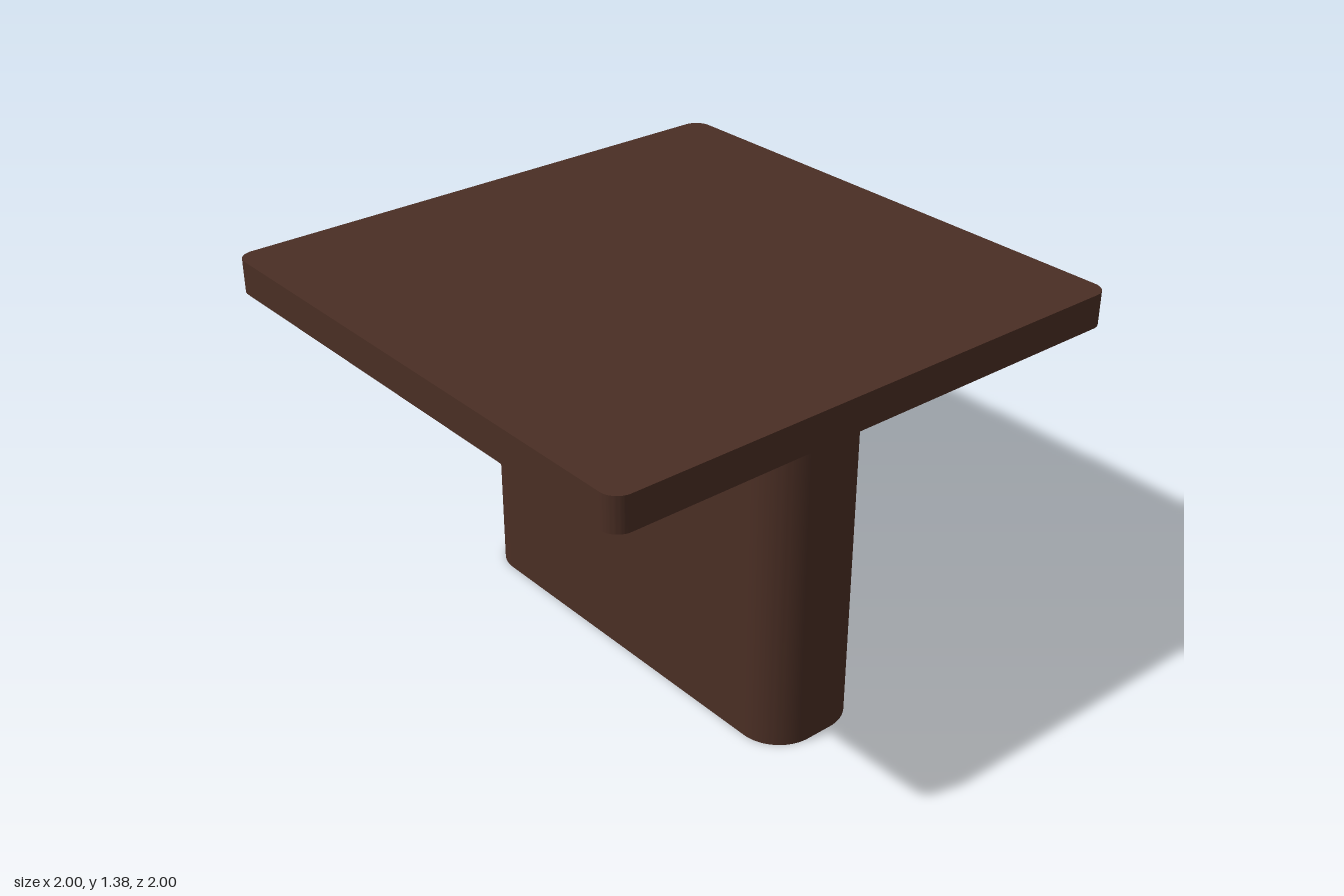
import * as THREE from 'three';
import { toCreasedNormals } from 'three/addons/utils/BufferGeometryUtils.js';

// Upright slab with rounded vertical corners, standing on y = bottom
function roundedSlab(name, width, depth, radius, bottom, top, material) {
  const x = width / 2, z = depth / 2, r = radius;
  const outline = new THREE.Shape();
  outline.moveTo(x, -z + r);
  outline.lineTo(x, z - r);
  outline.absarc(x - r, z - r, r, 0, Math.PI / 2);
  outline.absarc(-x + r, z - r, r, Math.PI / 2, Math.PI);
  outline.absarc(-x + r, -z + r, r, Math.PI, Math.PI * 1.5);
  outline.absarc(x - r, -z + r, r, Math.PI * 1.5, Math.PI * 2);
  const extruded = new THREE.ExtrudeGeometry(outline, {
    depth: top - bottom, bevelEnabled: false, curveSegments: 12,
  });
  extruded.rotateX(-Math.PI / 2);
  extruded.translate(0, bottom, 0);
  const mesh = new THREE.Mesh(toCreasedNormals(extruded, Math.PI / 6), material);
  mesh.name = name;
  return mesh;
}

export function createModel() {
  const darkWood = new THREE.MeshStandardMaterial({ color: 0x4a2e24 });
  darkWood.name = 'dark wood';

  const table = new THREE.Group();
  table.name = 'pedestalTable';
  // Square top and broad central pedestal
  table.add(roundedSlab('tableTop', 2, 2, 0.06, 1.265, 1.383, darkWood));
  table.add(roundedSlab('pedestal', 1.6, 0.4, 0.15, 0, 1.265, darkWood));
  return table;
}
